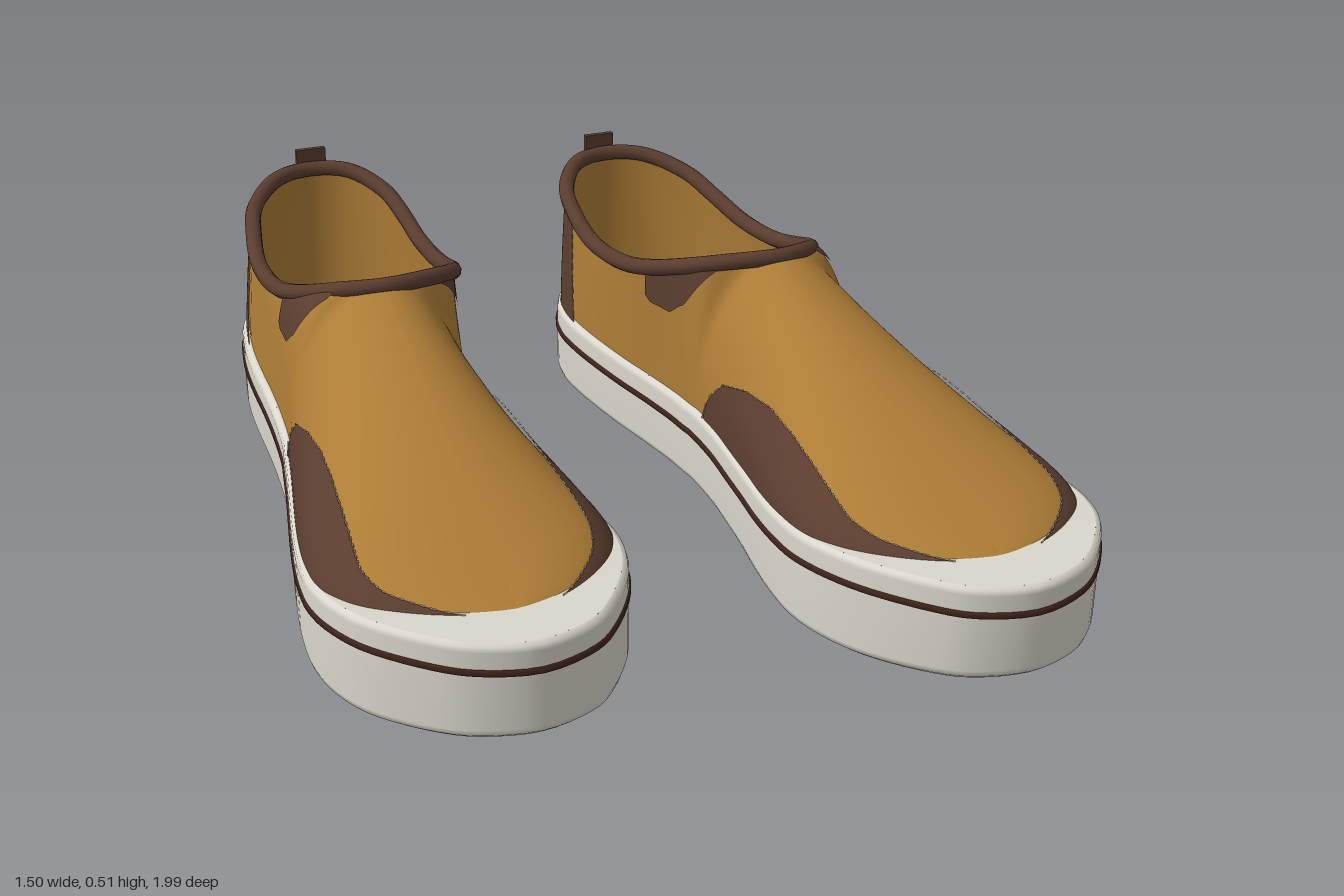
import * as THREE from 'three';
import { mergeGeometries } from 'three/addons/utils/BufferGeometryUtils.js';

const mat = (name, color, side = THREE.FrontSide) => {
  const m = new THREE.MeshStandardMaterial({ color, side });
  m.name = name;
  return m;
};

// Stations heel to toe: z, inner and outer sole edge, then (behind the throat) collar inner, outer, height
const ROWS = [
  [-0.8, 0.245, 0.475, 0.26, 0.43, 0.468], [-0.7, 0.175, 0.55, 0.2, 0.505, 0.44],
  [-0.6, 0.148, 0.577, 0.183, 0.535, 0.41], [-0.5, 0.148, 0.592, 0.18, 0.552, 0.388],
  [-0.4, 0.158, 0.6, 0.182, 0.558, 0.388], [-0.3, 0.172, 0.605, 0.188, 0.558, 0.402],
  [-0.2, 0.19, 0.612, 0.2, 0.552, 0.43], [-0.1, 0.205, 0.622, 0.232, 0.53, 0.465],
  [-0.04, 0.21, 0.63, 0.285, 0.49, 0.487],
  [0, 0.214, 0.638], [0.1, 0.211, 0.658], [0.2, 0.2, 0.68], [0.3, 0.187, 0.702],
  [0.4, 0.17, 0.722], [0.5, 0.157, 0.738], [0.6, 0.152, 0.745], [0.7, 0.168, 0.732],
  [0.8, 0.205, 0.695], [0.9, 0.27, 0.62], [0.96, 0.335, 0.545],
];
const N = ROWS.length, COUNT = 2 * N + 2;
const { lerp, clamp, smoothstep } = THREE.MathUtils;
const V = (x, y, z) => new THREE.Vector3(x, y, z);

const topY = (z) => 0.17 + 0.065 * smoothstep(z, 0.2, 1);
const bottomY = (z) => 0.05 * clamp((z - 0.3) / 0.7, 0, 1) ** 2;
const spineX = (z) => 0.405 + 0.04 * Math.max(z, 0);
const ridgeY = (z) => 0.495 - 0.31 * z;
const squeeze = (z, k) => (z > 0.6 ? 0.6 + (z - 0.6) * k : z);

// Closed curve: heel, outer side, toe, inner side
const loop = (heel, toe, at) => new THREE.CatmullRomCurve3(
  [heel, ...ROWS.map((r) => at(r, 1)), toe, ...[...ROWS].reverse().map((r) => at(r, -1))], true, 'catmullrom', 0.5);

const soleEdge = loop(V(0.35, 0, -0.84), V(0.44, 0, 0.99), (r, s) => V(s > 0 ? r[2] : r[1], 0, r[0]));
const upperBase = loop(V(0.35, 0, -0.825), V(0.44, 0, 0.873),
  (r, s) => V((s > 0 ? r[2] : r[1]) - s * 0.015, 0, squeeze(Math.max(r[0], -0.788), 0.7)));
const upperTop = loop(V(0.345, 0.472, -0.815), V(spineX(0.85), ridgeY(0.85), 0.85), (r, s) => {
  const z = squeeze(Math.max(r[0], -0.785), 0.64);
  return r.length > 3 ? V(s > 0 ? r[4] : r[3], r[5], z) : V(spineX(z), ridgeY(z), z);
});

// Sole outline moved outward by d
const outward = (t) => {
  const g = soleEdge.getTangent(t);
  return V(g.z, 0, -g.x).normalize();
};
const edge = (t, d) => soleEdge.getPoint(t).addScaledVector(outward(t), d);

// Station number for a given z, and curve parameter for a station on either side
function stationAt(z) {
  let i = 0;
  while (i < N - 2 && z > ROWS[i + 1][0]) i++;
  return 1 + i + (z - ROWS[i][0]) / (ROWS[i + 1][0] - ROWS[i][0]);
}
const param = (s, side) => (side > 0 ? s / COUNT : 1 - s / COUNT);

function baseAndTop(t) {
  const b = upperBase.getPoint(t), p = upperTop.getPoint(t);
  b.y = topY(b.z) - 0.02;
  if (p.z > -0.02) p.x = t < 0.5 ? Math.max(p.x, spineX(p.z)) : Math.min(p.x, spineX(p.z));
  return [b, p];
}

// Point on the upper: t round the foot, v from sole to collar or ridge, off = distance outside
function upper(t, v, off = 0) {
  const [b, p] = baseAndTop(t);
  const sin = Math.sin(v * Math.PI / 2), cos = Math.cos(v * Math.PI / 2);
  const a = lerp(sin, 1 - cos, clamp(1 + b.z * 1.8, 0.25, 1));
  const q = V(lerp(b.x, p.x, a), lerp(b.y, p.y, sin), lerp(b.z, p.z, a));
  return q.addScaledVector(outward(t), off * cos).add(V(0, off * sin, 0));
}
const heightToV = (t, y) => {
  const [b, p] = baseAndTop(t);
  return Math.asin(clamp((y - b.y) / (p.y - b.y), 0, 1)) * 2 / Math.PI;
};

function grid(nu, nv, f, wrap = false) {
  const pos = [], idx = [], cols = wrap ? nu : nu + 1;
  for (let i = 0; i < cols; i++) for (let j = 0; j <= nv; j++) pos.push(...f(i / nu, j / nv, j).toArray());
  for (let i = 0; i < nu; i++) for (let j = 0; j < nv; j++) {
    const a = i * (nv + 1) + j, b = ((i + 1) % cols) * (nv + 1) + j;
    idx.push(a, a + 1, b, b, a + 1, b + 1);
  }
  const g = new THREE.BufferGeometry();
  g.setAttribute('position', new THREE.Float32BufferAttribute(pos, 3));
  g.setIndex(idx);
  g.computeVertexNormals();
  return g;
}

// Piecewise-linear table lookup
function table(rows, x) {
  let i = 0;
  while (i < rows.length - 2 && x > rows[i + 1][0]) i++;
  return lerp(rows[i][1], rows[i + 1][1], clamp((x - rows[i][0]) / (rows[i + 1][0] - rows[i][0]), 0, 1));
}

const PANEL_TOP = [[0.035, 0.17], [0.05, 0.22], [0.1, 0.272], [0.2, 0.3], [0.3, 0.308], [0.4, 0.3], [0.5, 0.285],
  [0.6, 0.266], [0.7, 0.25], [0.8, 0.238], [0.9, 0.23], [0.96, 0.224]];
const PATCH_LOW = [[-0.22, 0.355], [-0.2, 0.345], [-0.13, 0.348], [-0.085, 0.38], [-0.045, 0.44], [-0.03, 0.47]];

const panelEdge = (a, side) => {
  const z = lerp(0.035, 0.96, a), t = param(stationAt(z), side);
  return [t, heightToV(t, table(PANEL_TOP, z))];
};
const counterEdge = (v, side) => [param(stationAt(lerp(-0.54, -0.63, v)), side), v];

function createShoe(mirror, mats) {
  const shoe = new THREE.Group();
  shoe.name = mirror ? 'rightShoe' : 'leftShoe';
  const add = (name, geometry, material) => {
    if (mirror) {
      geometry.scale(-1, 1, 1);
      const ix = geometry.index.array;
      for (let i = 0; i < ix.length; i += 3) [ix[i], ix[i + 1]] = [ix[i + 1], ix[i]];
    }
    const mesh = new THREE.Mesh(geometry, material);
    mesh.name = name;
    shoe.add(mesh);
  };

  // Sole wall, top rim with footbed, tread and pinstripe
  add('soleWall', grid(160, 5, (t, _, j) => {
    const p = edge(t, [-0.015, -0.004, 0, 0, -0.003, -0.012][j]);
    p.y = j < 3 ? bottomY(p.z) + [0, 0.008, 0.02][j] : topY(p.z) - [0.014, 0.004, 0][j - 3];
    return p;
  }, true), mats.sole);
  const cap = (inset, yOf, up) => grid(100, 8, (a, b) => {
    const p = edge(a / 2, -inset).lerp(edge(1 - a / 2, -inset), up ? b : 1 - b);
    p.y = yOf(p.z);
    return p;
  });
  add('footbed', cap(0.012, topY, true), mats.sole);
  add('tread', cap(0.015, bottomY, false), mats.tread);
  add('soleStripe', grid(160, 3, (t, _, j) => {
    const p = edge(t, [-0.001, 0.004, 0.004, -0.001][j]);
    p.y = topY(p.z) - 0.053 + [-0.007, -0.005, 0.005, 0.007][j];
    return p;
  }, true), mats.stripe);

  // Canvas upper
  add('upper', grid(200, 24, (t, v) => upper(t, v), true), mats.canvas);

  // Overlays and stitching on both sides
  const stitches = [];
  for (const side of [1, -1]) {
    const along = (a) => (side > 0 ? a : 1 - a);
    add('forefootPanel', grid(70, 8, (a, b) => {
      const [t, v] = panelEdge(along(a), side);
      return upper(t, v * b, 0.006);
    }), mats.leather);
    add('heelCounter', grid(30, 12, (a, b) => {
      const [t] = counterEdge(b, side), start = side > 0 ? 0 : 1;
      return upper(lerp(start, t, along(a)), b, 0.006);
    }), mats.leather);
    add('collarPatch', grid(30, 8, (a, b) => {
      const z = lerp(-0.22, -0.03, along(a)), t = param(stationAt(z), side);
      return upper(t, lerp(heightToV(t, table(PATCH_LOW, z)), 1, b), 0.006);
    }), mats.leather);
    const dashes = (n, f) => {
      for (let i = 0; i < n; i++) {
        const [p, q] = [i / n, (i + 0.55) / n].map((a) => upper(...f(a, side), 0.007));
        stitches.push(new THREE.TubeGeometry(new THREE.LineCurve3(p, q), 1, 0.002, 4));
      }
    };
    dashes(44, panelEdge);
    dashes(14, counterEdge);
  }
  add('stitching', mergeGeometries(stitches), mats.stitch);

  // Collar binding and heel pull tab
  const back = ROWS.filter((r) => r.length > 3);
  const ring = [V(0.345, 0.472, -0.815), ...back.map((r) => V(r[4], r[5], Math.max(r[0], -0.785))),
    V(0.405, 0.497, -0.003), ...[...back].reverse().map((r) => V(r[3], r[5], Math.max(r[0], -0.785)))];
  add('collarBinding', new THREE.TubeGeometry(new THREE.CatmullRomCurve3(ring, true), 120, 0.018, 10, true), mats.leather);
  add('pullTab', new THREE.BoxGeometry(0.07, 0.078, 0.013).translate(0.335, 0.476, -0.835), mats.leather);

  if (mirror) shoe.position.z = -0.155;
  return shoe;
}

export function createModel() {
  const mats = {
    sole: mat('off-white rubber', 0xdad6cb),
    tread: mat('gum tread', 0x8f672c),
    stripe: mat('dark brown stripe', 0x40251a),
    canvas: mat('ochre canvas', 0xac7c36, THREE.DoubleSide),
    leather: mat('brown leather', 0x5a3d2f),
    stitch: mat('tan stitching', 0xa8927a),
  };
  const model = new THREE.Group();
  model.name = 'slipOnShoes';
  model.add(createShoe(false, mats), createShoe(true, mats));
  return model;
}
